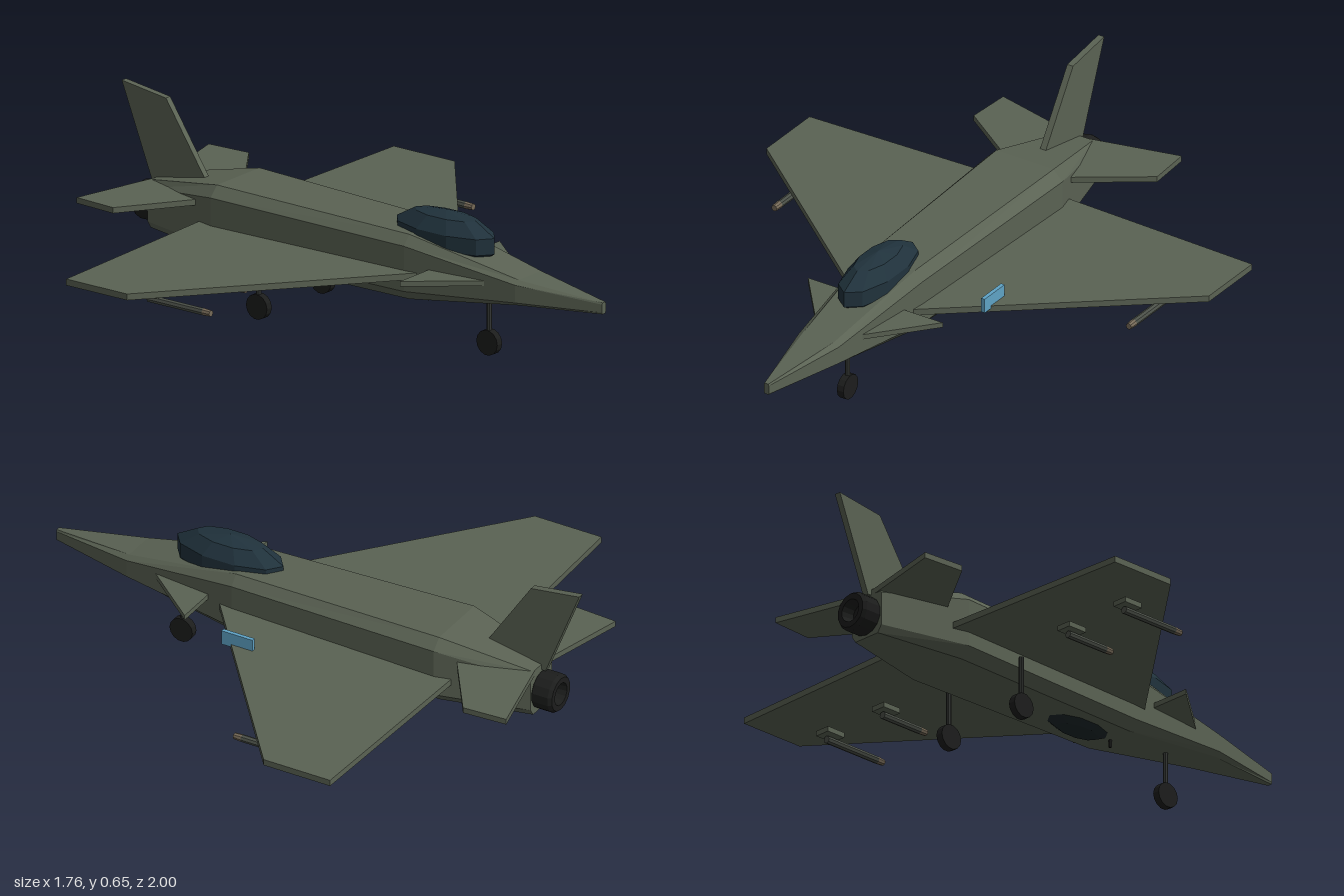
import * as THREE from 'three';

const mat = (color, side = THREE.FrontSide) => new THREE.MeshStandardMaterial({ color, flatShading: true, side });

export function createModel() {
  const root = new THREE.Group();
  const olive = mat(0x5a6253);
  const dark = mat(0x1c1d1c);
  const glass = mat(0x20323c);
  const metal = mat(0x4b5048);

  const add = (name, geometry, material, x = 0, y = 0, z = 0) => {
    const mesh = new THREE.Mesh(geometry, material);
    mesh.name = name;
    mesh.position.set(x, y, z);
    root.add(mesh);
    return mesh;
  };

  // Octagonal fuselage: z, half width, bottom, top
  const stations = [
    [1.0, 0.01, 0.24, 0.28],
    [0.69, 0.08, 0.222, 0.31],
    [0.26, 0.125, 0.165, 0.39],
    [-0.53, 0.15, 0.165, 0.405],
    [-0.855, 0.07, 0.175, 0.342],
  ];
  const ring = ([z, w, b, t]) => {
    const i = w * 0.76, c = (t - b) * 0.15;
    return [[i, b], [w, b + c], [w, t - c], [i, t], [-i, t], [-w, t - c], [-w, b + c], [-i, b]]
      .map(([x, y]) => [x, y, z]);
  };
  const rings = stations.map(ring);
  const pos = [];
  const tri = (a, b, c) => pos.push(...a, ...b, ...c);
  for (let s = 0; s < rings.length - 1; s++) {
    for (let k = 0; k < 8; k++) {
      const n = (k + 1) % 8, f = rings[s], r = rings[s + 1];
      tri(f[k], r[k], r[n]);
      tri(f[k], r[n], f[n]);
    }
  }
  const nose = rings[0], tail = rings[rings.length - 1];
  for (let k = 1; k < 7; k++) {
    tri(nose[0], nose[k], nose[k + 1]);
    tri(tail[0], tail[k + 1], tail[k]);
  }
  const hull = new THREE.BufferGeometry();
  hull.setAttribute('position', new THREE.Float32BufferAttribute(pos, 3));
  hull.computeVertexNormals();
  add('fuselage', hull, olive);

  // Horizontal slabs drawn in x, z with their top at y
  const slab = (name, pts, top, thickness) => {
    for (const side of [1, -1]) {
      const shape = new THREE.Shape(pts.map(([x, z]) => new THREE.Vector2(x * side, z)));
      const g = new THREE.ExtrudeGeometry(shape, { depth: thickness, bevelEnabled: false });
      g.rotateX(Math.PI / 2);
      add((side > 0 ? 'left' : 'right') + name, g, olive, 0, top, 0);
    }
  };
  slab('Wing', [[0.1, 0.325], [0.88, -0.31], [0.88, -0.565], [0.1, -0.59]], 0.272, 0.022);
  slab('Tailplane', [[0.04, -0.545], [0.365, -0.77], [0.355, -0.93], [0.04, -0.855]], 0.343, 0.02);
  slab('Canard', [[0.06, 0.61], [0.268, 0.355], [0.06, 0.355]], 0.291, 0.018);

  // Swept vertical fin
  const finShape = new THREE.Shape([[-0.64, 0.36], [-0.87, 0.32], [-1.0, 0.65], [-0.815, 0.625]]
    .map(([z, y]) => new THREE.Vector2(z, y)));
  const fin = new THREE.ExtrudeGeometry(finShape, { depth: 0.023, bevelEnabled: false });
  fin.rotateY(-Math.PI / 2);
  add('verticalFin', fin, olive);

  // Canopy and belly pod
  const blob = (rx, ry, rz) => new THREE.SphereGeometry(1, 10, 5).rotateY(Math.PI / 2).scale(rx, ry, rz);
  add('canopy', blob(0.087, 0.09, 0.214), glass, 0, 0.38, 0.338);
  add('bellyPod', blob(0.07, 0.05, 0.15), mat(0x1b2629), 0, 0.187, 0.115);
  add('bellyAntenna', new THREE.BoxGeometry(0.008, 0.05, 0.008), dark, 0, 0.163, 0.265);

  // Hollow engine nozzle
  const profile = [[0.058, -0.01], [0.068, 0.006], [0.068, 0.064], [0.06, 0.077], [0.04, 0.077], [0.034, 0.03], [0, 0.03]]
    .map(([r, h]) => new THREE.Vector2(r, h));
  const nozzle = new THREE.LatheGeometry(profile, 14).rotateX(-Math.PI / 2);
  add('engineNozzle', nozzle, mat(0x1c1d1c, THREE.DoubleSide), 0, 0.25, -0.853);

  // Pylons and stores under each wing
  for (const side of [1, -1]) {
    for (const [x, length] of [[0.44, 0.2], [0.705, 0.26]]) {
      const px = x * side, back = -0.355;
      add('pylon', new THREE.BoxGeometry(0.056, 0.018, 0.075), olive, px, 0.226, -0.338);
      add('storeBody', new THREE.CylinderGeometry(0.013, 0.013, length - 0.03, 8).rotateX(Math.PI / 2),
        metal, px, 0.202, back + (length - 0.03) / 2);
      add('storeTip', new THREE.CylinderGeometry(0.011, 0.013, 0.03, 8).rotateX(Math.PI / 2),
        mat(0x766a58), px, 0.202, back + length - 0.015);
    }
  }

  // Landing gear: x, z, strut top
  for (const [name, x, z, top] of [['nose', 0, 0.52, 0.23], ['left', 0.172, -0.31, 0.222], ['right', -0.172, -0.31, 0.222]]) {
    add(name + 'GearStrut', new THREE.CylinderGeometry(0.009, 0.009, top - 0.045, 8), mat(0x343734), x, (top + 0.045) / 2, z);
    add(name + 'GearWheel', new THREE.CylinderGeometry(0.044, 0.044, 0.026, 14).rotateZ(Math.PI / 2), dark, x, 0.044, z);
  }

  // Blue plate on the left wing
  add('wingPlate', new THREE.BoxGeometry(0.014, 0.052, 0.118), mat(0x5fa3c6), 0.312, 0.288, 0.124);

  return root;
}
